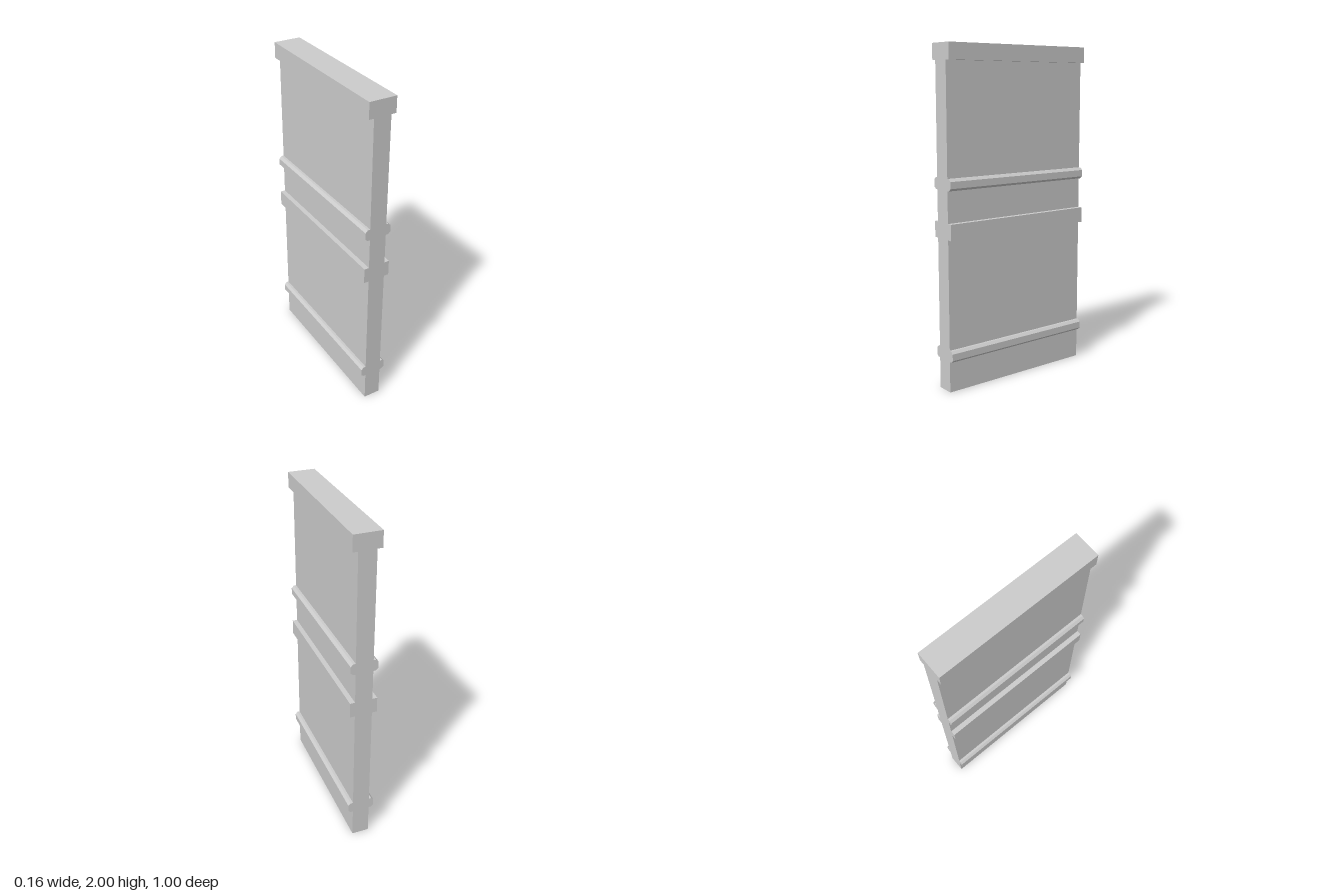
import * as THREE from 'three';

const DEPTH = 1;

// Right half of the panel's cross-section, bottom to top: [x, y]
const HALF = [
  [0.052, 0],
  // moulding with chamfered edges
  [0.052, 0.186], [0.067, 0.186], [0.082, 0.2], [0.082, 0.24], [0.067, 0.255], [0.052, 0.255],
  // square cap rail
  [0.052, 0.906], [0.082, 0.906], [0.082, 1],
];

// Drops the triangles lying on y = 0, leaving the underside open
function openBottom(geometry) {
  const p = geometry.attributes.position;
  const kept = [];
  for (let i = 0; i < p.count; i += 3) {
    const top = Math.max(p.getY(i), p.getY(i + 1), p.getY(i + 2));
    if (top < 1e-5) continue;
    for (let j = i; j < i + 3; j++) kept.push(p.getX(j), p.getY(j), p.getZ(j));
  }
  const out = new THREE.BufferGeometry();
  out.setAttribute('position', new THREE.Float32BufferAttribute(kept, 3));
  out.computeVertexNormals();
  return out;
}

function panelGeometry() {
  const mirrored = HALF.map(([x, y]) => [-x, y]).reverse();
  const outline = [...HALF, ...mirrored].map(([x, y]) => new THREE.Vector2(x, y));
  const solid = new THREE.ExtrudeGeometry(new THREE.Shape(outline), { depth: DEPTH, bevelEnabled: false });
  solid.translate(0, 0, -DEPTH / 2);
  return openBottom(solid);
}

export function createModel() {
  const group = new THREE.Group();
  group.name = 'wallPanel';
  const material = new THREE.MeshStandardMaterial({ color: 0xcccccc, flatShading: true, side: THREE.DoubleSide });
  const geometry = panelGeometry();

  // Two identical wall sections, one stacked on the other
  ['lowerWallSection', 'upperWallSection'].forEach((name, level) => {
    const section = new THREE.Mesh(geometry, material);
    section.name = name;
    section.position.y = level;
    group.add(section);
  });
  return group;
}
